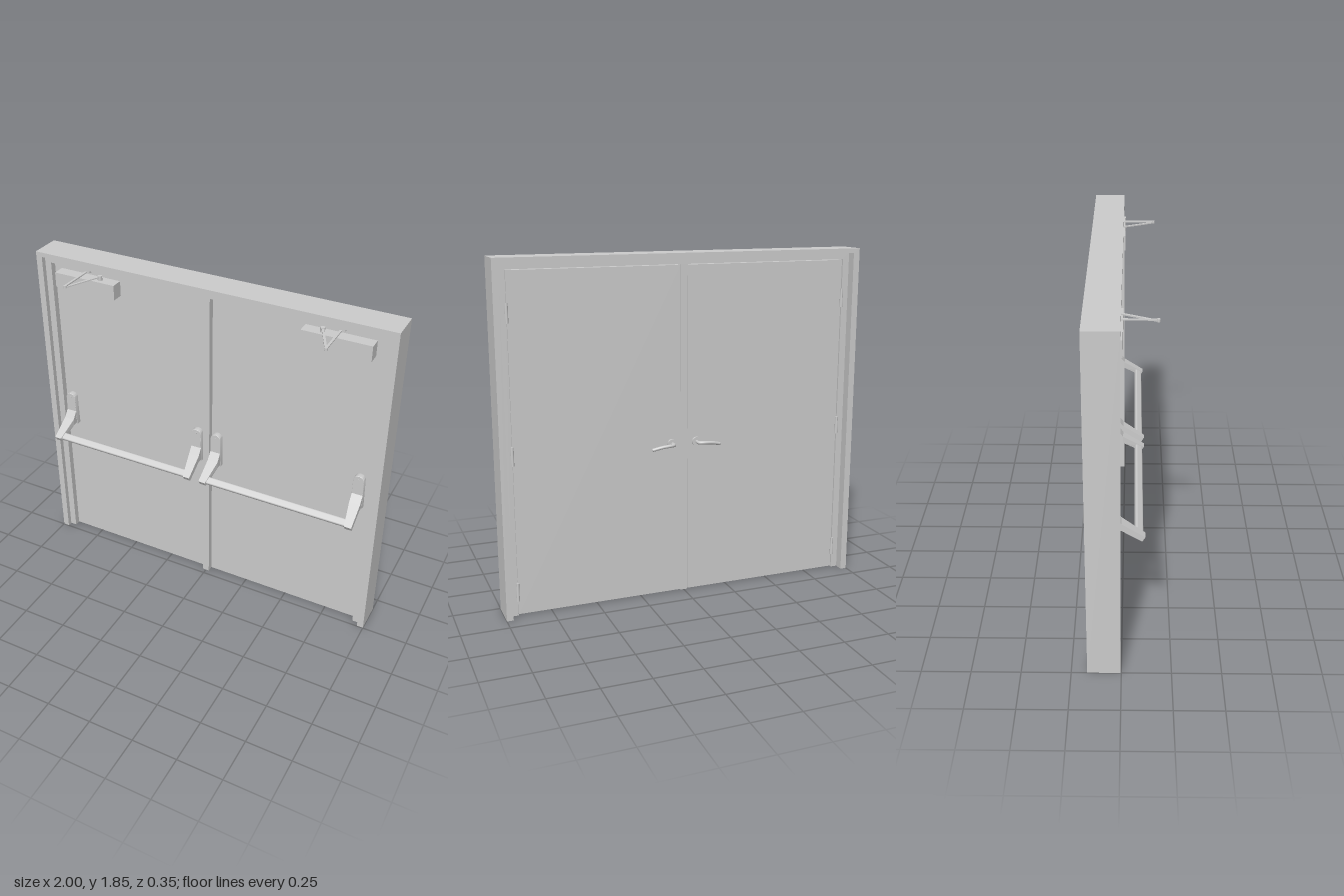
import * as THREE from 'three';
import { RoundedBoxGeometry } from 'three/addons/geometries/RoundedBoxGeometry.js';
import { toCreasedNormals } from 'three/addons/utils/BufferGeometryUtils.js';

const grey = new THREE.MeshStandardMaterial({ color: 0xcccccc });
const DOOR_FRONT = -0.06, DOOR_BACK = -0.115;

function add(parent, name, geometry) {
  const mesh = new THREE.Mesh(geometry, grey);
  mesh.name = name;
  parent.add(mesh);
  return mesh;
}

// Box given by its limits on each axis
function box(parent, name, x0, x1, y0, y1, z0, z1) {
  const g = new THREE.BoxGeometry(Math.abs(x1 - x0), y1 - y0, z1 - z0);
  g.translate((x0 + x1) / 2, (y0 + y1) / 2, (z0 + z1) / 2);
  return add(parent, name, g);
}

function cylinder(parent, name, r, h, x, y, z, alongZ = false) {
  const g = new THREE.CylinderGeometry(r, r, h, 24);
  if (alongZ) g.rotateX(Math.PI / 2);
  return add(parent, name, g.translate(x, y, z));
}

// Upside-down U running round two jambs and the head
function surround(parent, name, outer, inner, top, under, z0, z1) {
  const s = new THREE.Shape([
    [-outer, 0], [-inner, 0], [-inner, under], [inner, under],
    [inner, 0], [outer, 0], [outer, top], [-outer, top],
  ].map(p => new THREE.Vector2(...p)));
  const g = new THREE.ExtrudeGeometry(s, { depth: z1 - z0, bevelEnabled: false });
  add(parent, name, g.translate(0, 0, z0));
}

// Extrude a (z, y) side profile along x, starting at x = 0
function sideExtrude(shape, width) {
  const g = new THREE.ExtrudeGeometry(shape, { depth: width, bevelEnabled: false, curveSegments: 10 });
  return g.rotateY(-Math.PI / 2).translate(width, 0, 0);
}

// Bracket: round-topped plate with an arm reaching forward and down
function bracket(parent, cx, outward) {
  const plate = new THREE.Shape();
  plate.moveTo(-0.03, 0.79);
  plate.lineTo(0.03, 0.79);
  plate.lineTo(0.028, 0.96);
  plate.absarc(0, 0.958, 0.028, 0, Math.PI, false);
  plate.lineTo(-0.03, 0.79);
  const g = new THREE.ExtrudeGeometry(plate, {
    depth: 0.026, bevelThickness: 0.004, bevelSize: 0.002, bevelSegments: 2, curveSegments: 12,
  });
  add(parent, 'bracketPlate', toCreasedNormals(g.translate(cx, 0, DOOR_FRONT), 0.6));

  const side = new THREE.Shape();
  side.moveTo(-0.058, 0.80);
  side.lineTo(0, 0.797);
  side.lineTo(0.098, 0.737);
  side.lineTo(0.113, 0.762);
  side.lineTo(0, 0.835);
  side.lineTo(-0.03, 0.875);
  side.lineTo(-0.058, 0.875);
  const arm = sideExtrude(side, 0.058);
  const p = arm.attributes.position;
  // Narrow the arm on its inner side toward the bar
  for (let i = 0; i < p.count; i++) {
    const t = THREE.MathUtils.clamp(p.getZ(i) / 0.1, 0, 1);
    const inner = -0.029 + 0.02 * t;
    const x = p.getX(i) < 0.029 ? inner : 0.03;
    p.setX(i, cx + x * outward);
  }
  if (outward < 0) {
    for (let i = 0; i < p.count; i += 3) {
      const a = new THREE.Vector3().fromBufferAttribute(p, i + 1);
      const b = new THREE.Vector3().fromBufferAttribute(p, i + 2);
      p.setXYZ(i + 1, b.x, b.y, b.z);
      p.setXYZ(i + 2, a.x, a.y, a.z);
    }
  }
  arm.computeVertexNormals();
  add(parent, 'bracketArm', arm);
  cylinder(parent, 'bracketScrew', 0.005, 0.006, cx, 0.965, -0.029, true);
}

function pushBar(parent, x0, x1) {
  const group = new THREE.Group();
  group.name = 'pushBar';
  parent.add(group);
  bracket(group, x0 + 0.03, -1);
  bracket(group, x1 - 0.03, 1);
  const bar = new RoundedBoxGeometry(x1 - x0 - 0.07, 0.026, 0.042, 3, 0.009);
  bar.rotateX(0.56).translate((x0 + x1) / 2, 0.762, 0.082);
  add(group, 'bar', bar);
}

// Flat link between two points at one height
function link(parent, name, a, b, y) {
  const dx = b[0] - a[0], dz = b[1] - a[1];
  const g = new THREE.BoxGeometry(Math.hypot(dx, dz), 0.006, 0.012);
  g.rotateY(Math.atan2(-dz, dx)).translate((a[0] + b[0]) / 2, y, (a[1] + b[1]) / 2);
  add(parent, name, g);
}

function closer(parent, s) {
  const group = new THREE.Group();
  group.name = 'doorCloser';
  parent.add(group);
  box(group, 'closerBody', s * 0.52, s * 0.882, 1.675, 1.757, DOOR_FRONT, 0.005);
  cylinder(group, 'spindle', 0.012, 0.026, s * 0.62, 1.768, -0.025);
  link(group, 'mainArm', [s * 0.62, -0.025], [s * 0.71, 0.162], 1.775);
  link(group, 'foreArm', [s * 0.71, 0.162], [s * 0.708, -0.045], 1.781);
  cylinder(group, 'elbow', 0.008, 0.014, s * 0.71, 1.778, 0.162);
  box(group, 'headShoe', s * 0.685, s * 0.73, 1.779, 1.791, -0.058, -0.03);
}

function lever(parent, s) {
  const group = new THREE.Group();
  group.name = 'leverHandle';
  parent.add(group);
  cylinder(group, 'rose', 0.025, 0.012, s * 0.07, 0.845, DOOR_BACK - 0.005, true);
  const path = new THREE.CatmullRomCurve3([
    [0.07, 0.845, -0.115], [0.071, 0.845, -0.155], [0.09, 0.846, -0.166],
    [0.14, 0.842, -0.166], [0.188, 0.83, -0.155],
  ].map(([x, y, z]) => new THREE.Vector3(s * x, y, z)));
  add(group, 'lever', new THREE.TubeGeometry(path, 32, 0.009, 12));
  const end = new THREE.SphereGeometry(0.009, 12, 8);
  add(group, 'leverTip', end.translate(s * 0.188, 0.83, -0.155));
}

export function createModel() {
  const model = new THREE.Group();
  model.name = 'doubleExitDoor';

  // Frame with a stepped stop, and the post between the leaves
  surround(model, 'frame', 1, 0.965, 1.85, 1.825, -0.17, -0.003);
  surround(model, 'frameStop', 0.965, 0.928, 1.825, 1.79, -0.12, -0.03);
  box(model, 'centrePost', -0.019, 0.019, 0, 1.79, -0.114, -0.03);

  for (const s of [-1, 1]) {
    const leaf = new THREE.Group();
    leaf.name = s < 0 ? 'rightLeaf' : 'leftLeaf';
    model.add(leaf);
    box(leaf, 'doorPanel', s * 0.021, s * 0.925, 0.005, 1.786, DOOR_BACK, DOOR_FRONT);
    if (s < 0) pushBar(leaf, -0.91, -0.032);
    else pushBar(leaf, 0.026, 0.904);
    closer(leaf, s);
    lever(leaf, s);
    // Hinge knuckles on the back edge
    for (const y of [0.13, 0.86, 1.58])
      cylinder(leaf, 'hinge', 0.008, 0.1, s * 0.927, y, -0.12);
  }
  return model;
}
